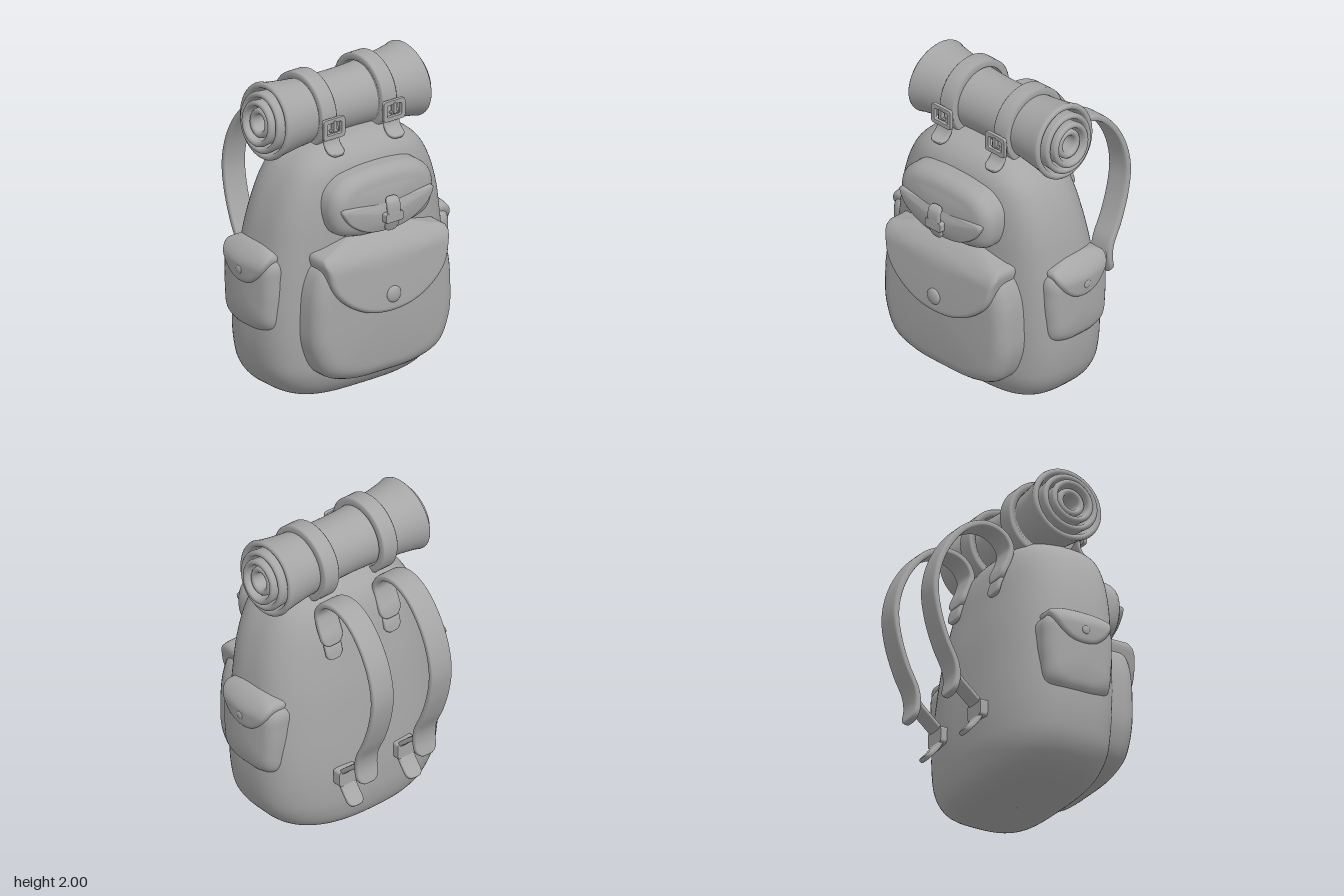
import * as THREE from 'three';

const canvas = new THREE.MeshStandardMaterial({ color: 0xa6a6a6 });
canvas.name = 'grey canvas';

function part(parent, name, geometry, x = 0, y = 0, z = 0) {
  const m = new THREE.Mesh(geometry, canvas);
  m.name = name;
  m.position.set(x, y, z);
  parent.add(m);
  return m;
}

// skin a stack of closed rings of [x, y, z] points
function loft(rings) {
  const n = rings[0].length, index = [];
  for (let i = 0; i < rings.length - 1; i++) {
    for (let j = 0; j < n; j++) {
      const a = i * n + j, b = i * n + (j + 1) % n;
      index.push(a, b, b + n, a, b + n, a + n);
    }
  }
  const g = new THREE.BufferGeometry();
  g.setAttribute('position', new THREE.Float32BufferAttribute(rings.flat(2), 3));
  g.setIndex(index);
  g.computeVertexNormals();
  return g;
}

const spow = (v, e) => Math.sign(v) * Math.abs(v) ** e;

// smooth closed outline through points given for the right half, bottom to top
function outline(half) {
  const left = half.filter(p => p[0] > 0).reverse().map(([x, y]) => [-x, y]);
  const pts = [...half, ...left].map(([x, y]) => new THREE.Vector3(x, y, 0));
  return new THREE.CatmullRomCurve3(pts, true).getSpacedPoints(80).slice(0, 80);
}

// padded panel: outline pushed from back to front with a rounded rim
function puff(pts, back, front, r, dome = 0, bend = () => 0) {
  const box = new THREE.Box3().setFromPoints(pts);
  const c = box.getCenter(new THREE.Vector3()), s = box.getSize(new THREE.Vector3());
  const levels = [[back, 0, 1]];
  for (let i = 0; i <= 6; i++) {
    const a = i / 6 * Math.PI / 2;
    levels.push([front - r * (1 - Math.sin(a)), r * (1 - Math.cos(a)), 1]);
  }
  for (const k of [0.9, 0.75, 0.6, 0.4, 0.2, 0.001]) levels.push([front + dome * (1 - k * k), r, k]);
  return loft(levels.map(([z, inset, k]) => pts.map(p => {
    const x = c.x + (p.x - c.x) * (1 - 2 * inset / s.x) * k;
    const y = c.y + (p.y - c.y) * (1 - 2 * inset / s.y) * k;
    return [x, y, z + bend(x, y) * (z - back) / (front - back)];
  })));
}

// strap running along [z, y] points, with soft edges and rounded tips
function ribbon(path, width, thick, steps = 60) {
  const curve = new THREE.CatmullRomCurve3(path.map(([z, y]) => new THREE.Vector3(0, y, z)));
  const len = curve.getLength(), k = width / len;
  const ends = [0, 0.004, 0.02, 0.06, 0.12, 0.2, 0.3].map(u => u * k);
  const middle = Array.from({ length: steps }, (_, i) => 0.4 * k + (1 - 0.8 * k) * i / (steps - 1));
  const rings = [...ends, ...middle, ...ends.map(u => 1 - u).reverse()].map(u => {
    const p = curve.getPointAt(u), d = curve.getTangentAt(u);
    const v = d.clone().cross(new THREE.Vector3(1, 0, 0));
    const e = Math.min(u, 1 - u) / (k * 0.4);
    const tip = Math.sqrt(Math.max(0, 1 - Math.max(0, 1 - e) ** 2));
    const w = width / 2 * (0.3 * Math.min(1, tip * 4) + 0.7 * tip), h = thick / 2 * Math.min(1, tip * 3);
    return Array.from({ length: 24 }, (_, j) => {
      const a = j / 24 * Math.PI * 2;
      const x = spow(Math.cos(a), 0.35) * w, q = spow(Math.sin(a), 0.5) * h;
      return [x, p.y + v.y * q, p.z + v.z * q];
    });
  });
  return loft(rings);
}

// body from rounded cross-sections: y, half width, back z, front z; the front is squarer than the back
function bodyGeometry() {
  const rows = [[0, 0.001, 0.07, 0.072], [0.005, 0.2, -0.08, 0.22], [0.03, 0.4, -0.19, 0.33], [0.09, 0.53, -0.265, 0.4],
    [0.2, 0.615, -0.3, 0.445], [0.35, 0.652, -0.308, 0.457], [0.55, 0.663, -0.3, 0.462], [0.8, 0.648, -0.275, 0.465],
    [1, 0.622, -0.25, 0.467], [1.2, 0.584, -0.213, 0.467], [1.38, 0.522, -0.175, 0.457], [1.5, 0.447, -0.13, 0.432],
    [1.58, 0.34, -0.06, 0.37], [1.62, 0.2, 0.02, 0.28], [1.63, 0.001, 0.13, 0.132]];
  const a = new THREE.CatmullRomCurve3(rows.map(r => new THREE.Vector3(r[0], r[1], 0)));
  const b = new THREE.CatmullRomCurve3(rows.map(r => new THREE.Vector3(r[0], r[2], r[3])));
  return loft(Array.from({ length: 71 }, (_, i) => {
    const p = a.getPoint(i / 70), q = b.getPoint(i / 70);
    return Array.from({ length: 80 }, (_, j) => {
      const t = j / 80 * Math.PI * 2, e = Math.sin(t) < 0 ? 0.58 : 0.8;
      return [p.y * spow(Math.cos(t), e), Math.max(0, p.x), (q.y + q.z) / 2 - (q.z - q.y) / 2 * spow(Math.sin(t), e)];
    });
  }));
}

// one flared layer of the rolled mat, lying along x
function rollLayer(r, half, thick, flare) {
  const pts = [], inner = r - thick;
  const rad = t => flare * (1 - t * t);
  const add = (x, y) => pts.push(new THREE.Vector2(x, y));
  for (let i = 0; i <= 6; i++) {
    const a = Math.PI * (1 - i / 6);
    add(r - thick / 2 + thick / 2 * Math.cos(a), -half + 0.02 - 0.02 * Math.sin(a));
  }
  for (let i = -9; i <= 9; i++) add(r - rad(i / 10), i / 10 * half);
  for (let i = 0; i <= 6; i++) {
    const a = Math.PI * i / 6;
    add(r - thick / 2 + thick / 2 * Math.cos(a), half - 0.02 + 0.02 * Math.sin(a));
  }
  for (let i = 9; i >= -9; i--) add(inner - rad(i / 10), i / 10 * half);
  add(inner, -half + 0.02);
  const g = new THREE.LatheGeometry(pts, 64).rotateZ(Math.PI / 2);
  const p = g.attributes.position;
  for (let i = 0; i < p.count; i++) p.setX(i, p.getX(i) * (1 - 0.17 * p.getY(i)));
  return g;
}

function slab(w, h, d, r, hole = 0) {
  const rect = (s, a, b, q) => {
    s.moveTo(-a + q, -b).lineTo(a - q, -b).quadraticCurveTo(a, -b, a, -b + q).lineTo(a, b - q).quadraticCurveTo(a, b, a - q, b);
    return s.lineTo(-a + q, b).quadraticCurveTo(-a, b, -a, b - q).lineTo(-a, -b + q).quadraticCurveTo(-a, -b, -a + q, -b);
  };
  const s = rect(new THREE.Shape(), w / 2, h / 2, r);
  if (hole) s.holes.push(rect(new THREE.Path(), w / 2 - hole, h / 2 - hole, r / 2));
  return new THREE.ExtrudeGeometry(s, { depth: d - 0.01, bevelThickness: 0.005, bevelSize: 0.004, bevelOffset: -0.004, bevelSegments: 2 }).translate(0, 0, -d / 2 + 0.005);
}

const stud = (r, flat) => new THREE.SphereGeometry(r, 24, 16).scale(1, 1, flat);

export function createModel() {
  const pack = new THREE.Group();
  pack.name = 'backpack';
  part(pack, 'body', bodyGeometry());

  // large front pocket
  part(pack, 'frontPocket', puff(outline([[0, 0.17], [0.25, 0.183], [0.42, 0.25], [0.5, 0.42], [0.512, 0.62], [0.49, 0.83], [0.43, 0.95], [0.25, 0.99], [0, 1]]),
    0.3, 0.595, 0.1, 0.018));
  part(pack, 'frontFlap', puff(outline([[0, 0.595], [0.17, 0.62], [0.32, 0.7], [0.41, 0.8], [0.445, 0.92], [0.455, 1], [0.38, 1.025], [0.2, 1.07], [0, 1.085]]),
    0.38, 0.655, 0.035, 0.005, (x, y) => -0.11 * (y - 0.6) - 5 * Math.max(0, y - 0.92) ** 2));
  part(pack, 'frontStud', stud(0.052, 0.4), 0, 0.705, 0.645);

  // upper pocket with its clasp
  part(pack, 'upperPocket', puff(outline([[0, 1.07], [0.2, 1.08], [0.33, 1.13], [0.375, 1.24], [0.362, 1.37], [0.28, 1.45], [0.15, 1.48], [0, 1.487]]),
    0.36, 0.585, 0.09, 0.018));
  part(pack, 'upperFlap', puff(outline([[0, 1.1], [0.14, 1.115], [0.25, 1.17], [0.31, 1.23], [0.335, 1.295], [0.25, 1.3], [0.12, 1.292], [0, 1.288]]),
    0.48, 0.605, 0.02, 0.015));
  part(pack, 'claspTab', ribbon([[0.605, 1.315], [0.635, 1.295], [0.645, 1.24], [0.637, 1.18], [0.612, 1.11]], 0.095, 0.024, 24));
  part(pack, 'claspKeeper', slab(0.13, 0.06, 0.04, 0.015), 0, 1.2, 0.638);

  // side pockets
  for (const s of [1, -1]) {
    const side = new THREE.Group();
    side.name = s > 0 ? 'leftPocket' : 'rightPocket';
    side.position.z = 0.098;
    side.rotation.y = s * Math.PI / 2;
    pack.add(side);
    part(side, 'pouch', puff(outline([[0, 0.48], [0.12, 0.487], [0.205, 0.53], [0.229, 0.67], [0.234, 0.82], [0.225, 0.93], [0.15, 0.99], [0, 1.0]]),
      0.45, 0.7, 0.075, 0.01, (x, y) => -0.6 * Math.max(0, 0.65 - y) ** 2 - 0.3 * x * x));
    part(side, 'pouchFlap', puff(outline([[0, 0.785], [0.08, 0.8], [0.15, 0.855], [0.198, 0.93], [0.205, 0.985], [0.12, 1.022], [0, 1.032]]),
      0.5, 0.724, 0.035, 0.006, (x, y) => -5 * Math.max(0, y - 0.9) ** 2 - 0.4 * x * x));
    part(side, 'pouchStud', stud(0.026, 0.3), 0, 0.87, 0.728);
  }

  // rolled mat in nested layers
  const roll = new THREE.Group();
  roll.name = 'bedroll';
  roll.position.set(0, 1.76, 0.092);
  pack.add(roll);
  for (const [r, half, thick, flare] of [[0.234, 0.54, 0.038, 0.05], [0.186, 0.575, 0.036, 0.025], [0.14, 0.6, 0.036, 0.025], [0.09, 0.58, 0.038, 0.008]]) {
    part(roll, 'matLayer', rollLayer(r, half, thick, flare));
  }

  // mat straps with buckles
  for (const x of [-0.222, 0.225]) {
    const strap = new THREE.Group();
    strap.name = 'bedrollStrap';
    strap.position.x = x;
    pack.add(strap);
    const loop = new THREE.LatheGeometry([[0.195, -0.05], [0.195, -0.057], [0.23, -0.057], [0.239, -0.048], [0.239, 0.048], [0.23, 0.057], [0.195, 0.057], [0.195, -0.05]]
      .map(p => new THREE.Vector2(...p)), 64).rotateZ(Math.PI / 2);
    part(strap, 'loop', loop, 0, 1.76, 0.085);
    part(strap, 'tail', ribbon([[0.315, 1.77], [0.325, 1.69], [0.335, 1.63], [0.36, 1.595], [0.412, 1.57]], 0.114, 0.024, 24));
    part(strap, 'buckleFrame', slab(0.16, 0.13, 0.025, 0.02, 0.028), 0, 1.725, 0.355);
    part(strap, 'buckleProng', slab(0.024, 0.07, 0.03, 0.008), 0, 1.74, 0.36);
    part(strap, 'buckleBar', slab(0.05, 0.018, 0.024, 0.006), 0, 1.71, 0.355);
  }

  // shoulder straps with lower webbing
  for (const x of [-0.187, 0.257]) {
    const strap = new THREE.Group();
    strap.name = 'shoulderStrap';
    strap.position.x = x;
    pack.add(strap);
    part(strap, 'upperStrap', ribbon([[-0.19, 1.32], [-0.176, 1.38], [-0.145, 1.45], [-0.125, 1.53], [-0.16, 1.6], [-0.23, 1.642], [-0.32, 1.648], [-0.43, 1.6], [-0.54, 1.48],
      [-0.615, 1.33], [-0.645, 1.17], [-0.625, 1.01], [-0.57, 0.84], [-0.505, 0.7], [-0.495, 0.61], [-0.517, 0.51]], 0.158, 0.042, 90));
    part(strap, 'anchorTab', ribbon([[-0.165, 1.36], [-0.195, 1.3], [-0.21, 1.23]], 0.12, 0.03, 12));
    part(strap, 'lowerStrap', ribbon([[-0.5, 0.67], [-0.46, 0.615], [-0.38, 0.545], [-0.325, 0.49], [-0.315, 0.44], [-0.34, 0.385], [-0.42, 0.29]], 0.115, 0.03, 40));
    part(strap, 'adjuster', slab(0.145, 0.105, 0.06, 0.02), 0, 0.457, -0.313);
  }
  return pack;
}
